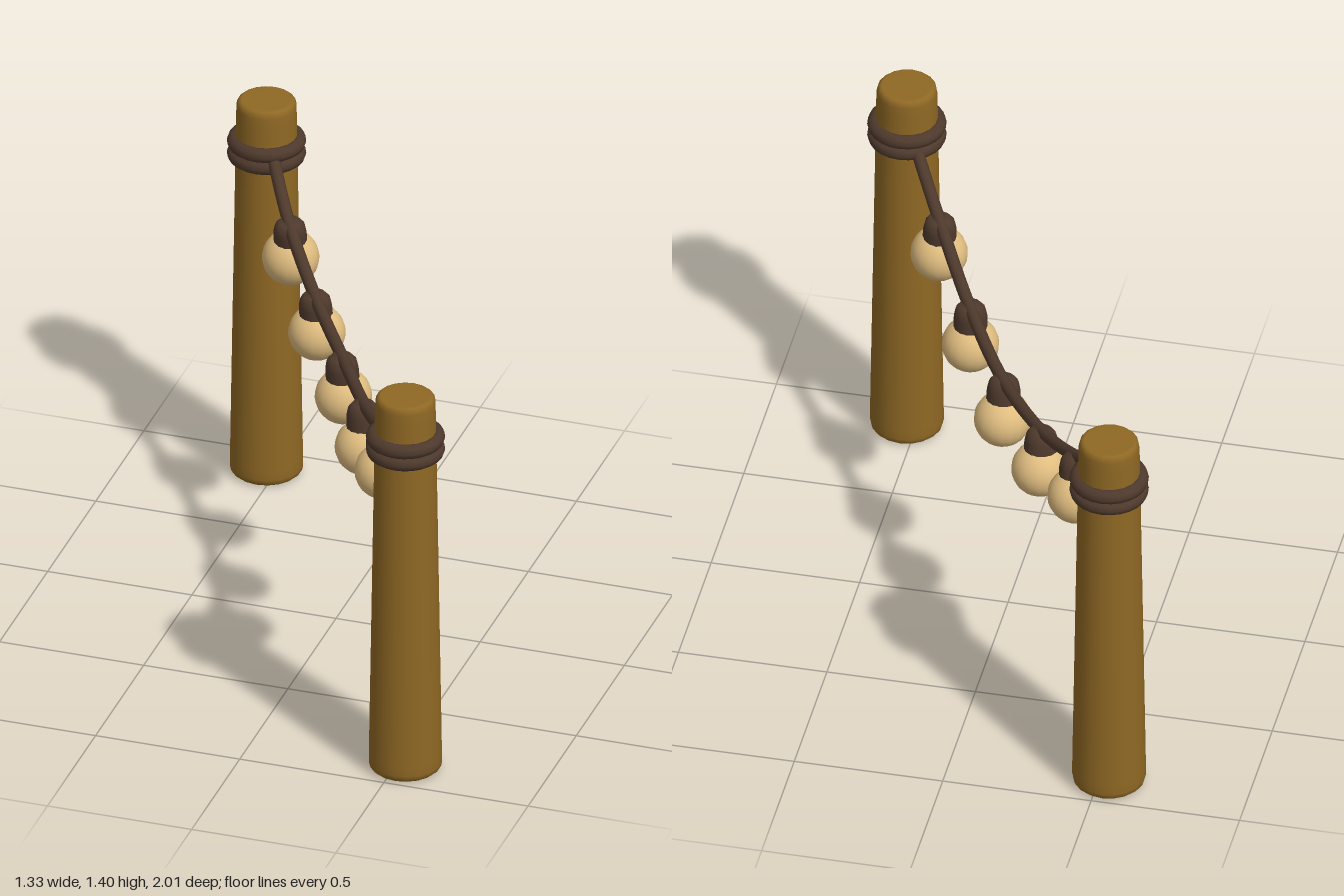
import * as THREE from 'three';

const mat = (name, color) => {
  const m = new THREE.MeshStandardMaterial({ color });
  m.name = name;
  return m;
};
const V = (x, y, z) => new THREE.Vector3(x, y, z);

export function createModel() {
  const model = new THREE.Group();
  const wood = mat('wood', 0x8f6824);
  const rope = mat('dark rope', 0x4e392c);
  const glow = mat('warm bulb', 0xe0bd80);

  const add = (parent, name, geometry, material) => {
    const mesh = new THREE.Mesh(geometry, material);
    mesh.name = name;
    parent.add(mesh);
    return mesh;
  };
  const lathe = (pts, sides) =>
    new THREE.LatheGeometry(pts.map(([r, y]) => new THREE.Vector2(r, y)), sides);

  // Tapered posts with softened ends, each wrapped by two rope coils
  const postGeo = lathe([
    [0, 0], [0.098, 0], [0.108, 0.003], [0.118, 0.012], [0.122, 0.028], [0.1215, 0.06],
    [0.101, 1.34], [0.1, 1.375], [0.097, 1.39], [0.09, 1.397], [0.082, 1.4], [0, 1.4],
  ], 18);
  const coilGeo = new THREE.TorusGeometry(0.105, 0.026, 10, 24).rotateX(Math.PI / 2);
  for (const side of [-1, 1]) {
    const post = new THREE.Group();
    post.name = side < 0 ? 'rightPost' : 'leftPost';
    post.position.set(side * 0.533, 0, side * 0.875);
    add(post, 'postTrunk', postGeo, wood);
    for (const y of [1.2, 1.245]) add(post, 'ropeCoil', coilGeo, rope).position.y = y;
    model.add(post);
  }

  // Sagging rope between the posts
  const path = new THREE.CatmullRomCurve3([
    V(-0.5, 1.25, -0.82), V(-0.365, 1.105, -0.605), V(-0.19, 0.995, -0.35),
    V(0.01, 0.955, -0.045), V(0.19, 0.985, 0.275), V(0.36, 1.085, 0.585), V(0.5, 1.225, 0.82),
  ]);
  add(model, 'hangingRope', new THREE.TubeGeometry(path, 40, 0.021, 10), rope);

  // Bulbs, each hung from the rope by a socket
  const socketGeo = lathe([
    [0, -0.1], [0.055, -0.1], [0.057, -0.09], [0.055, -0.03], [0.05, -0.005], [0.036, 0.012], [0, 0.018],
  ], 14);
  const bulbGeo = new THREE.SphereGeometry(0.095, 18, 14);
  const lamps = [
    [V(-0.362, 1.1, -0.605), V(-0.367, 0.965, -0.628)],
    [V(-0.19, 0.99, -0.352), V(-0.188, 0.853, -0.365)],
    [V(0.003, 0.95, -0.05), V(0.004, 0.806, -0.065)],
    [V(0.187, 0.98, 0.277), V(0.188, 0.83, 0.279)],
    [V(0.358, 1.08, 0.587), V(0.364, 0.94, 0.6)],
  ];
  for (const [top, center] of lamps) {
    const lamp = new THREE.Group();
    lamp.name = 'lamp';
    lamp.position.copy(top);
    lamp.quaternion.setFromUnitVectors(V(0, 1, 0), top.clone().sub(center).normalize());
    add(lamp, 'socket', socketGeo, rope);
    add(lamp, 'bulb', bulbGeo, glow).position.y = -top.distanceTo(center);
    model.add(lamp);
  }
  return model;
}
